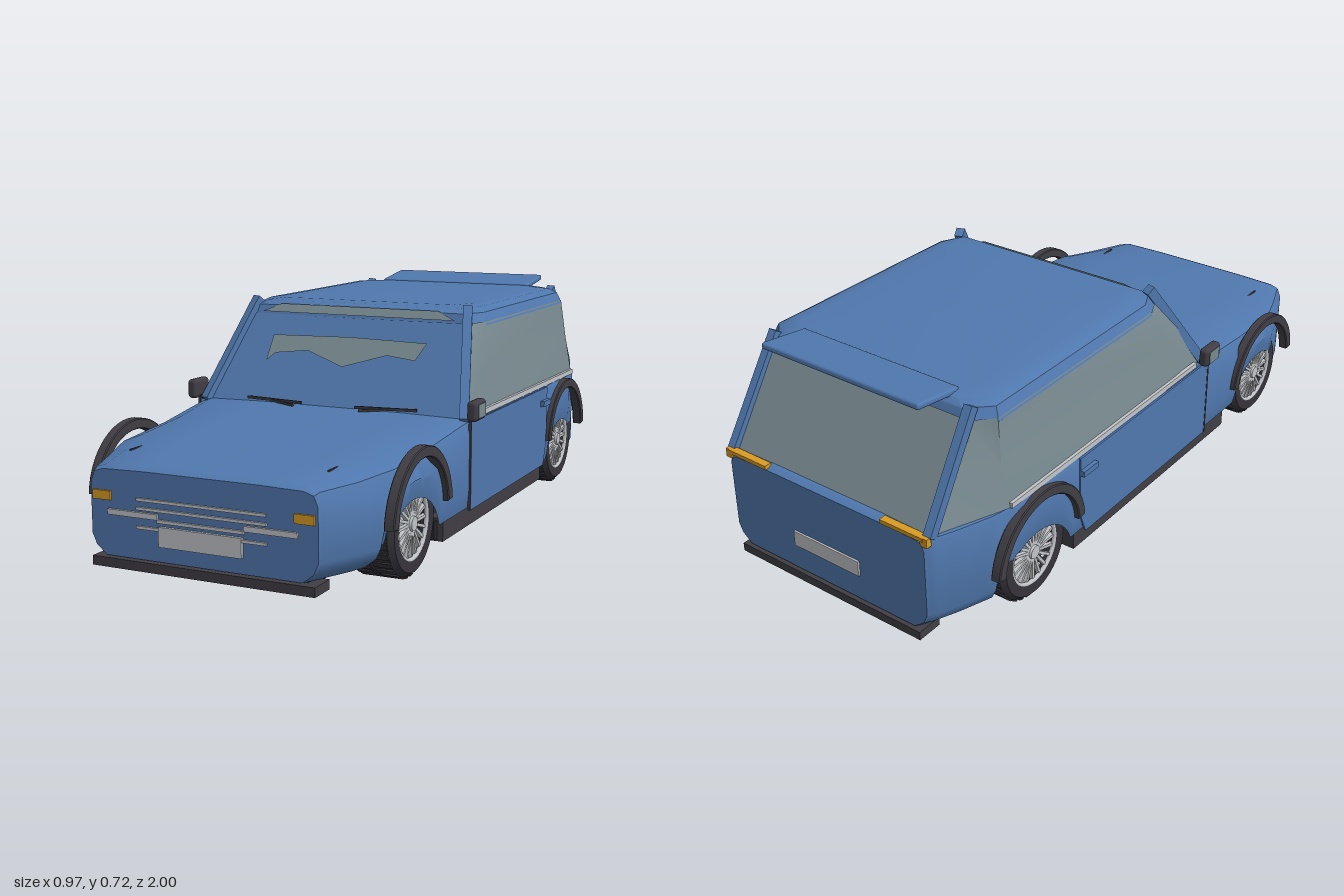
import * as THREE from 'three';
import { toCreasedNormals } from 'three/addons/utils/BufferGeometryUtils.js';
import { RoundedBoxGeometry } from 'three/addons/geometries/RoundedBoxGeometry.js';

const paint = (name, color, side = THREE.FrontSide) => {
  const m = new THREE.MeshStandardMaterial({ color, side });
  m.name = name;
  return m;
};
const blue = paint('blue paint', 0x5078ae, THREE.DoubleSide);
const glass = paint('grey glass', 0x788a90, THREE.DoubleSide);
const trim = paint('dark trim', 0x403e44);
const rubber = paint('tyre rubber', 0x35333a);
const under = paint('underside black', 0x28282c);
const chrome = paint('chrome', 0xc2c5c9);
const amber = paint('amber', 0xd99b22);

const V = (x, y, z) => new THREE.Vector3(x, y, z);
const lerp = THREE.MathUtils.lerp;

// Skin of quads over rows of points, with optional fan caps on chosen rows
function skin(rows, closed = false, caps = []) {
  const pos = rows.flat().flatMap(p => [p.x, p.y, p.z]);
  const idx = [], n = rows[0].length;
  for (let i = 0; i < rows.length - 1; i++)
    for (let j = 0; j < (closed ? n : n - 1); j++) {
      const a = i * n + j, b = i * n + (j + 1) % n;
      idx.push(a, b, b + n, a, b + n, a + n);
    }
  for (const r of caps) {
    const c = rows[r].reduce((s, p) => s.add(p), V(0, 0, 0)).divideScalar(n);
    const k = pos.length / 3;
    pos.push(c.x, c.y, c.z);
    for (let j = 0; j < n; j++) {
      const a = r * n + j, b = r * n + (j + 1) % n;
      idx.push(...(r ? [a, b, k] : [b, a, k]));
    }
  }
  const g = new THREE.BufferGeometry();
  g.setAttribute('position', new THREE.Float32BufferAttribute(pos, 3));
  g.setIndex(idx);
  return toCreasedNormals(g, 0.55);
}

export function createModel() {
  const car = new THREE.Group();
  car.name = 'car';
  const add = (name, geo, mat, x = 0, y = 0, z = 0, parent = car) => {
    const m = new THREE.Mesh(geo, mat);
    m.name = name;
    m.position.set(x, y, z);
    parent.add(m);
    return m;
  };
  // Box given by its limits
  const box = (name, mat, x0, x1, y0, y1, z0, z1) =>
    add(name, new THREE.BoxGeometry(Math.abs(x1 - x0), y1 - y0, Math.abs(z1 - z0)), mat,
      (x0 + x1) / 2, (y0 + y1) / 2, (z0 + z1) / 2);
  // Bar from one point to another
  const bar = (name, mat, a, b, w, h) => {
    const m = add(name, new THREE.BoxGeometry(w, h, a.distanceTo(b)), mat);
    m.position.copy(a).add(b).multiplyScalar(0.5);
    m.lookAt(b);
    return m;
  };

  // Lower body: z, half width, top height, shoulder radius
  const keys = [[0.99, 0.34, 0.328, 0.04], [0.97, 0.35, 0.337, 0.05], [0.85, 0.405, 0.35, 0.08],
    [0.72, 0.448, 0.362, 0.08], [0.5, 0.455, 0.378, 0.08], [0.27, 0.455, 0.393, 0.04],
    [0, 0.455, 0.39, 0.015], [-0.7, 0.455, 0.39, 0.015], [-0.8, 0.435, 0.39, 0.015],
    [-0.9, 0.4, 0.39, 0.015], [-0.97, 0.37, 0.39, 0.02], [-0.99, 0.355, 0.38, 0.03]];
  const at = z => {
    let i = 0;
    while (i < keys.length - 2 && z < keys[i + 1][0]) i++;
    const [a, b] = [keys[i], keys[i + 1]];
    const t = (z - a[0]) / (b[0] - a[0]);
    return a.map((v, k) => lerp(v, b[k], t));
  };
  const rows = [];
  for (let i = 0; i <= 198; i++) {
    const z = 0.99 - i * 0.01;
    const [, w, top, r] = at(z);
    const d = Math.min(1, Math.abs(Math.abs(z) - 0.63) / 0.165);
    const arch = 0.09 + 0.15 * Math.sqrt(1 - d * d);
    const b = Math.max(arch, Math.abs(z) < 0.6 ? 0.13 : 0.085);
    const tuck = Math.abs(z) > 0.78 ? 0.045 : 0.008;
    const half = [[w - tuck, b], [w - tuck * 0.3, b + 0.025], [w, b + 0.055], [w, top - r],
      [w - r * 0.3, top - r * 0.3], [w - r, top - 0.003], [w * 0.5, top]];
    rows.push([...half.map(p => V(p[0], p[1], z)), ...half.reverse().map(p => V(-p[0], p[1], z))]);
  }
  add('lowerBody', skin(rows, false, [0, rows.length - 1]), blue);

  // Cabin: side glass, windscreen and rear window
  const lower = [[0.435, 0.24], [0.445, 0.1], [0.445, -0.75], [0.36, -0.965]];
  const middle = [[0.41, 0.165], [0.421, 0.06], [0.421, -0.75], [0.354, -0.88]];
  const upper = [[0.37, 0.072], [0.402, 0], [0.405, -0.74], [0.345, -0.8]];
  for (const s of [1, -1])
    add('sideWindow', skin([[lower, 0.388], [middle, 0.52], [upper, 0.645]]
      .map(([l, y]) => l.map(p => V(s * p[0], y, p[1])))), glass);
  const slope = y => 0.25 - 0.69 * (y - 0.39);
  add('windscreen', skin([0.39, 0.645].map((y, i) =>
    [-1, 1].map(s => V(s * (i ? 0.37 : 0.432), y, slope(y))))), blue);
  add('rearWindow', skin([[0.36, 0.388, -0.965], [0.345, 0.65, -0.8]].map(p =>
    [1, -1].map(s => V(s * p[0], p[1], p[2])))), glass);

  // Roof, as a stack of shrinking outlines
  const outline = [[0.37, 0.074], [0.405, 0], [0.408, -0.74], [0.345, -0.8]];
  const roofRing = (y, d) => [...outline.map(p => [p[0], p[1]]), ...outline.slice().reverse().map(p => [-p[0], p[1]])]
    .map(([x, z]) => V(x - Math.sign(x) * d, y, z > -0.4 ? z - d : z + d * 0.6));
  add('roof', skin([roofRing(0.635, 0), roofRing(0.672, 0.016), roofRing(0.686, 0.04), roofRing(0.691, 0.08)],
    true, [3]), blue);

  // Clear areas on the windscreen
  const clear = (pts, name) => {
    const g = new THREE.ShapeGeometry(new THREE.Shape(pts.map(p => new THREE.Vector2(...p))));
    const p = g.attributes.position;
    for (let i = 0; i < p.count; i++) p.setZ(i, slope(p.getY(i)) + 0.006);
    g.computeVertexNormals();
    add(name, g, glass);
  };
  clear([[-0.265, 0.51], [-0.24, 0.533], [-0.13, 0.545], [0, 0.505], [0.14, 0.545], [0.235, 0.535],
    [0.26, 0.585], [0, 0.59], [-0.265, 0.585]], 'windscreenPatch');
  clear([[-0.33, 0.652], [0.33, 0.652], [0.27, 0.677], [-0.27, 0.677]], 'windscreenTopBand');

  // Rear spoiler
  const spoiler = add('spoiler', new RoundedBoxGeometry(0.56, 0.02, 0.165, 2, 0.008), blue, 0, 0.697, -0.82);
  spoiler.rotation.x = 0.14;

  // Wheel arch flare, a flat curved band
  const flareShape = new THREE.Shape();
  flareShape.absarc(0, 0, 0.197, 0.1, Math.PI - 0.1, false);
  flareShape.absarc(0, 0, 0.172, Math.PI - 0.1, 0.1, true);
  const flareGeo = new THREE.ExtrudeGeometry(flareShape,
    { depth: 0.025, bevelEnabled: true, bevelSize: 0.003, bevelThickness: 0.003, bevelSegments: 1, curveSegments: 20 });
  flareGeo.translate(0, 0, -0.0125).rotateY(Math.PI / 2);

  // Wheel, axle along x
  const tyreGeo = new THREE.LatheGeometry([[0.1, -0.068], [0.132, -0.07], [0.145, -0.055], [0.148, 0],
    [0.145, 0.055], [0.132, 0.07], [0.1, 0.068], [0.098, 0.045]].map(p => new THREE.Vector2(...p)), 36);
  tyreGeo.rotateZ(-Math.PI / 2);
  const makeWheel = (s, z) => {
    const w = new THREE.Group();
    w.name = 'wheel';
    w.position.set(s * 0.372, 0.172, z);
    if (s < 0) w.rotation.y = Math.PI;
    car.add(w);
    add('tyre', toCreasedNormals(tyreGeo, 0.6), rubber, 0, 0, 0, w);
    add('wheelDisc', new THREE.CylinderGeometry(0.102, 0.102, 0.09, 32).rotateZ(Math.PI / 2), trim, -0.01, 0, 0, w);
    add('rimRing', new THREE.TorusGeometry(0.099, 0.007, 8, 36).rotateY(Math.PI / 2), chrome, 0.062, 0, 0, w);
    add('hub', new THREE.CylinderGeometry(0.02, 0.025, 0.035, 16).rotateZ(-Math.PI / 2), chrome, 0.053, 0, 0, w);
    for (let i = 0; i < 20; i++) {
      const a = i / 20 * Math.PI * 2;
      const spoke = add('spoke', new THREE.BoxGeometry(0.012, 0.086, 0.0085), chrome,
        0.057, Math.cos(a) * 0.057, Math.sin(a) * 0.057, w);
      spoke.rotation.x = a;
    }
    for (let i = 0; i < 60; i++) {
      const a = i / 30 * Math.PI;
      const block = add('tread', new THREE.BoxGeometry(0.05, 0.006, 0.018), rubber,
        i % 2 ? 0.03 : -0.03, Math.cos(a) * 0.147, Math.sin(a) * 0.147, w);
      block.rotation.x = a;
    }
  };

  // Door skin, cut back around the rear arch
  const door = new THREE.Shape([[-0.26, 0.125], [0.41, 0.125], [0.44, 0.2], [0.44, 0.385], [-0.26, 0.385]]
    .map(p => new THREE.Vector2(...p)));

  for (const s of [1, -1]) {
    for (const z of [0.63, -0.63]) {
      makeWheel(s, z);
      add('archFlare', flareGeo, trim, s * 0.457, 0.185, z);
    }
    add('door', new THREE.ExtrudeGeometry(door, { depth: 0.006, bevelEnabled: false })
      .rotateY(Math.PI / 2), blue, s * 0.456 - 0.003, 0, 0);
    box('doorGap', trim, s * 0.452, s * 0.46, 0.125, 0.4, 0.258, 0.265);
    box('doorHandle', blue, s * 0.455, s * 0.472, 0.328, 0.346, -0.37, -0.44);
    box('sideSill', trim, s * 0.39, s * 0.438, 0.068, 0.135, 0.42, -0.44);
    bar('waistStrip', chrome, V(s * 0.446, 0.395, 0.2), V(s * 0.446, 0.395, -0.745), 0.012, 0.016);
    bar('frontPillar', blue, V(s * 0.434, 0.385, 0.255), V(s * 0.36, 0.69, 0.045), 0.028, 0.03);
    bar('rearPillar', blue, V(s * 0.358, 0.385, -0.97), V(s * 0.35, 0.682, -0.78), 0.026, 0.03);
    add('mirror', new RoundedBoxGeometry(0.032, 0.06, 0.085, 2, 0.012), trim, s * 0.469, 0.42, 0.248);
    box('mirrorPlate', glass, s * 0.484, s * 0.487, 0.4, 0.44, 0.22, 0.276);
    bar('mirrorArm', trim, V(s * 0.43, 0.385, 0.24), V(s * 0.47, 0.4, 0.245), 0.015, 0.015);
    bar('wiper', trim, V(s * 0.09, 0.402, 0.27), V(s * 0.285, 0.404, 0.255), 0.008, 0.008);
    bar('wiperArm', trim, V(s * 0.11, 0.396, 0.288), V(s * 0.2, 0.402, 0.264), 0.007, 0.007);
    box('frontLamp', amber, s * 0.275, s * 0.332, 0.242, 0.267, 0.985, 0.996);
    box('rearLamp', amber, s * 0.21, s * 0.355, 0.383, 0.395, -0.972, -0.995);
    box('rearLampCorner', amber, s * 0.345, s * 0.368, 0.368, 0.395, -0.975, -0.993);
    bar('underRail', trim, V(s * 0.2, 0.022, 0.53), V(s * 0.2, 0.042, -0.94), 0.03, 0.026);
    bar('railBrace', trim, V(s * 0.2, 0.022, 0.5), V(s * 0.16, 0.075, 0.5), 0.02, 0.03);
    box('gap', trim, s * 0.3, s * 0.305, 0.348, 0.352, 0.8, 0.86);
  }

  // Nose strips and number plates
  for (const y of [0.253, 0.229, 0.178]) box('grilleStrip', chrome, -0.195, 0.195, y - 0.004, y + 0.004, 0.985, 0.996);
  for (const s of [1, -1]) box('wideStrip', chrome, s * 0.13, s * 0.285, 0.204, 0.219, 0.985, 0.997);
  box('stripBridge', chrome, -0.13, 0.13, 0.196, 0.205, 0.985, 0.996);
  box('frontPlate', chrome, -0.125, 0.125, 0.133, 0.187, 0.985, 0.999);
  box('rearPlate', chrome, -0.12, 0.12, 0.17, 0.218, -0.985, -0.996);

  // Bumper lips, floor and silencer
  box('frontLip', trim, -0.335, 0.335, 0.06, 0.086, 0.92, 1);
  box('rearLip', trim, -0.335, 0.335, 0.06, 0.086, -0.92, -1);
  box('floor', under, -0.3, 0.3, 0.072, 0.1, 0.97, -0.97);
  box('floorSides', under, -0.42, 0.42, 0.075, 0.128, 0.44, -0.44);
  add('silencer', new RoundedBoxGeometry(0.31, 0.06, 0.37, 3, 0.025), trim, -0.135, 0.032, -0.585);
  return car;
}
